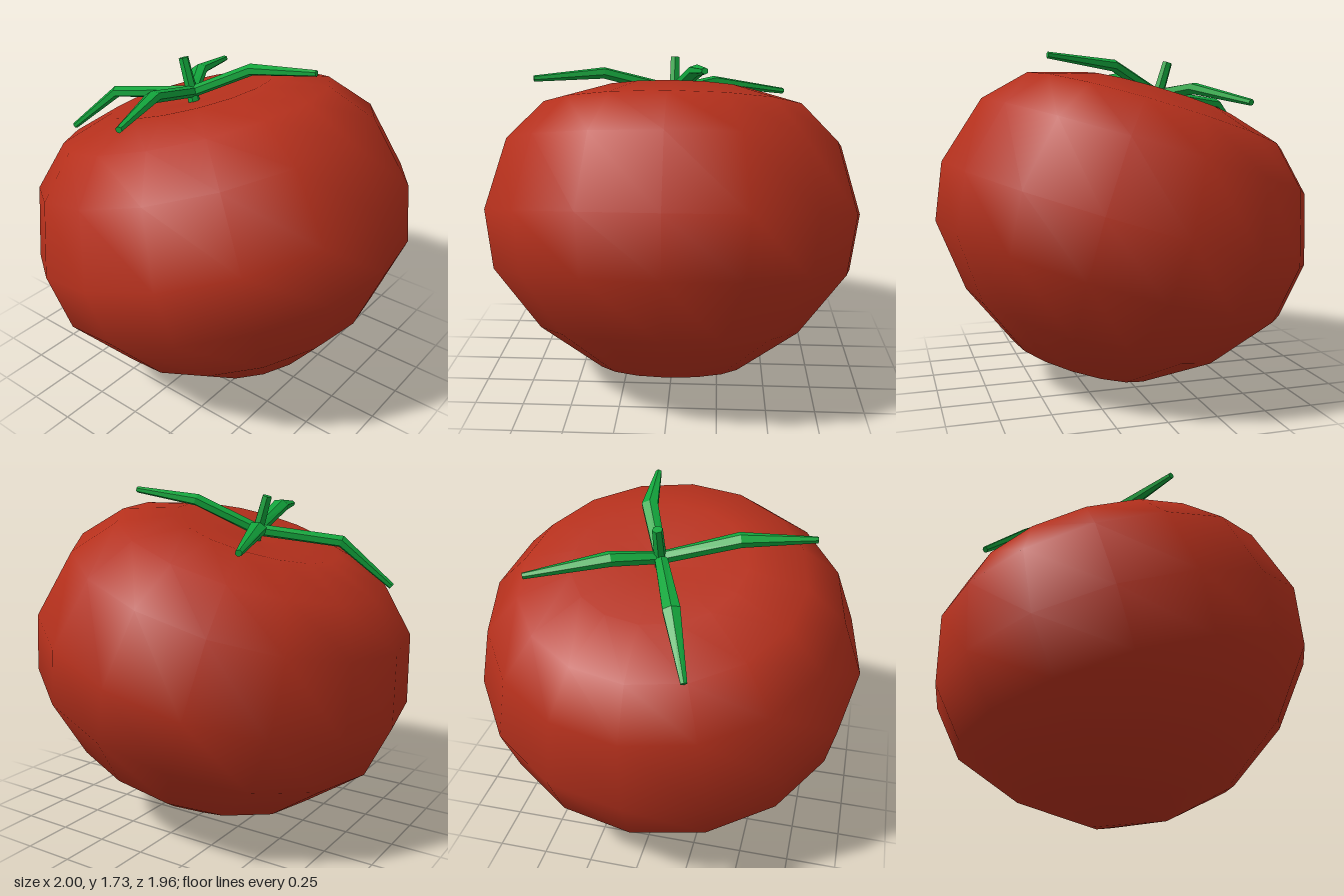
import * as THREE from 'three';

const TILT = THREE.MathUtils.degToRad(-17);
const AXIS = new THREE.Vector3(0, 1, 0).applyAxisAngle(new THREE.Vector3(1, 0, 0), TILT);

// Leaf: a six-sided prism with one bend, running through three points
function leafGeometry(points) {
  const p = points.map((a) => new THREE.Vector3(...a));
  const widths = [0.034, 0.046, 0.017];
  const heights = [0.03, 0.03, 0.016];
  const frames = p.map((_, i) => {
    const dir = p[Math.min(i + 1, 2)].clone().sub(p[Math.max(i - 1, 0)]).normalize();
    const side = dir.clone().cross(AXIS).normalize();
    return { side, normal: side.clone().cross(dir) };
  });
  const geo = new THREE.CylinderGeometry(1, 1, 1, 6, 2);
  const pos = geo.attributes.position;
  for (let i = 0; i < pos.count; i++) {
    const k = Math.round((pos.getY(i) + 0.5) * 2);
    const v = p[k].clone()
      .addScaledVector(frames[k].side, pos.getX(i) * widths[k])
      .addScaledVector(frames[k].normal, pos.getZ(i) * heights[k]);
    pos.setXYZ(i, v.x, v.y, v.z);
  }
  geo.computeVertexNormals();
  return geo;
}

export function createModel() {
  const model = new THREE.Group();
  const red = new THREE.MeshStandardMaterial({ color: 0xb5301c });
  const green = new THREE.MeshStandardMaterial({ color: 0x12a53c, flatShading: true });

  // Leaning fruit and stem
  const fruit = new THREE.Group();
  fruit.name = 'fruit';
  fruit.position.set(0, 0.9, -0.015);
  fruit.rotation.x = TILT;
  model.add(fruit);

  // Body: squashed sphere with a shallow hollow at the top
  const profile = [
    [0, -0.897], [0.383, -0.82], [0.707, -0.6], [0.95, -0.297], [1, 0],
    [0.895, 0.36], [0.707, 0.555], [0.43, 0.643], [0, 0.6],
  ].map(([r, y]) => new THREE.Vector2(r, y));
  const body = new THREE.Mesh(new THREE.LatheGeometry(profile, 16), red);
  body.name = 'body';
  fruit.add(body);

  // Stem
  const stem = new THREE.Mesh(new THREE.CylinderGeometry(0.026, 0.032, 0.25, 6), green);
  stem.name = 'stem';
  stem.position.y = 0.705;
  fruit.add(stem);

  // Four leaves: bend and tip of each
  const root = [0, 1.525, -0.2];
  const leaves = [
    [[-0.15, 1.475, -0.6], [-0.26, 1.255, -0.83]],
    [[0.21, 1.555, -0.33], [0.6, 1.485, -0.465]],
    [[-0.37, 1.625, -0.13], [-0.72, 1.61, -0.01]],
    [[0.125, 1.67, 0.08], [0.17, 1.715, 0.43]],
  ];
  for (const [bend, tip] of leaves) {
    const leaf = new THREE.Mesh(leafGeometry([root, bend, tip]), green);
    leaf.name = 'leaf';
    model.add(leaf);
  }
  return model;
}
